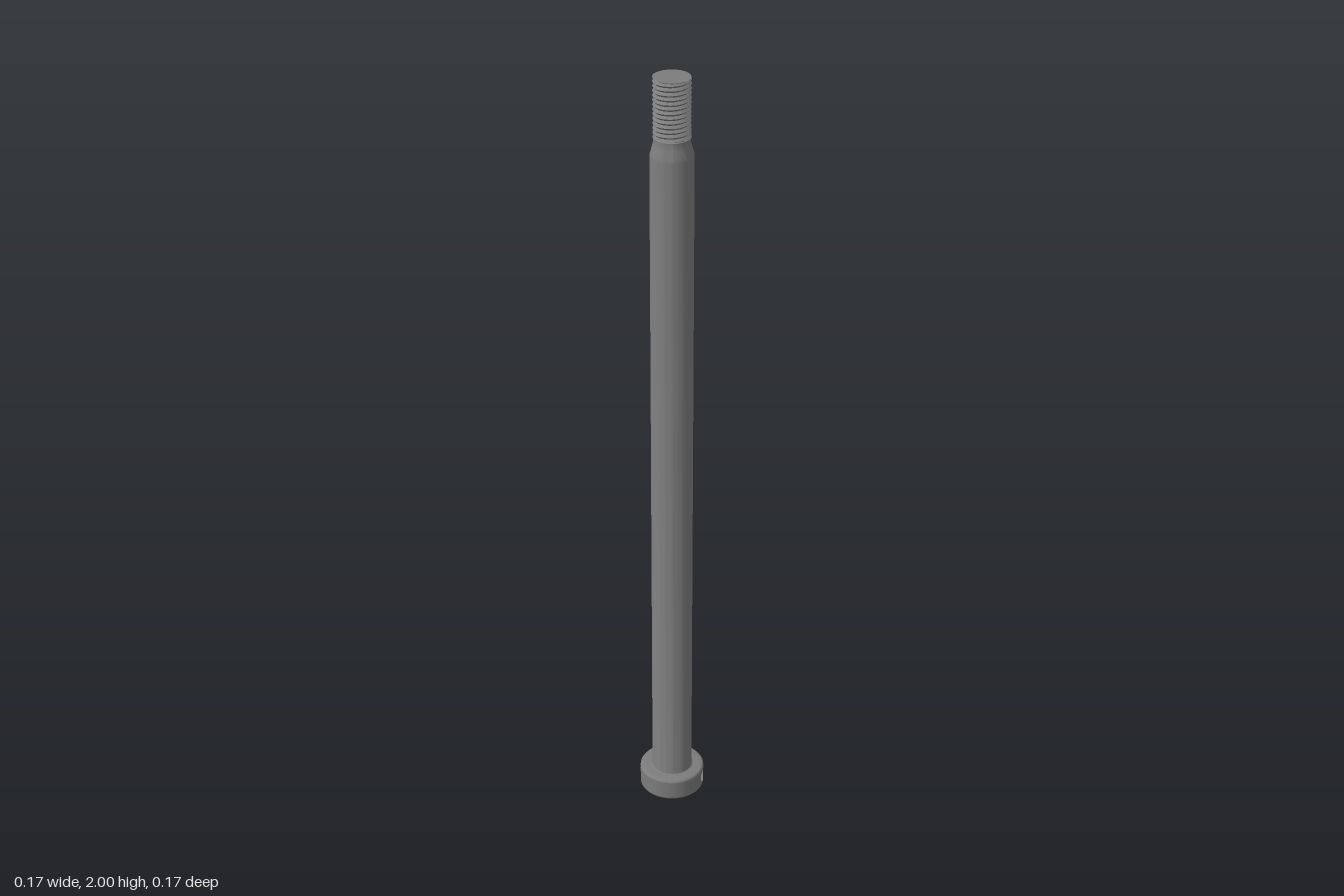
import * as THREE from 'three';
import { toCreasedNormals } from 'three/addons/utils/BufferGeometryUtils.js';
import { ParametricGeometry } from 'three/addons/geometries/ParametricGeometry.js';

const HEAD_R = 0.084, HEAD_H = 0.06, BEVEL = 0.006;
const SHAFT_R = 0.052, NECK_R = 0.0435;
const HOLE_R = 0.019, HOLE_Y = 0.03, HOLE_END = 0.035;
const THREAD_Y = 1.855, TOP_Y = 2, PITCH = 0.0112, CREST_R = 0.0448, ROOT_R = 0.039;

export function createModel() {
  const steel = new THREE.MeshStandardMaterial({ color: 0x7c7c7c });
  steel.name = 'grey steel';
  const model = new THREE.Group();
  model.name = 'headedPin';

  function add(name, geometry, parent = model) {
    const mesh = new THREE.Mesh(toCreasedNormals(geometry, 0.5), steel);
    mesh.name = name;
    parent.add(mesh);
    return mesh;
  }
  const lathe = (points, start = 0, length = Math.PI * 2) =>
    new THREE.LatheGeometry(points.map(([r, y]) => new THREE.Vector2(r, y)), 64, start, length);

  // Head: rounded rims above and below a side wall with a blind cross hole
  const head = new THREE.Group();
  head.name = 'head';
  model.add(head);
  const rim = [];
  for (let i = 0; i <= 4; i++) {
    const a = (i / 4) * Math.PI / 2;
    rim.push([HEAD_R - BEVEL + BEVEL * Math.sin(a), BEVEL - BEVEL * Math.cos(a)]);
  }
  add('headBottom', lathe([[0, 0], ...rim]), head);
  add('headTop', lathe([...rim.map(([r, y]) => [r, HEAD_H - y]).reverse(), [SHAFT_R, HEAD_H]]), head);

  const patchW = 0.034, patchH = HEAD_H / 2 - BEVEL;
  const patchAngle = Math.asin(patchW / HEAD_R);
  add('headWall', lathe([[HEAD_R, BEVEL], [HEAD_R, HEAD_H - BEVEL]],
    Math.PI / 2 + patchAngle, Math.PI * 2 - patchAngle * 2), head);

  // Wall patch running from a rectangle in to the hole edge
  add('holeSurround', new ParametricGeometry((u, v, p) => {
    const a = u * Math.PI * 2, c = Math.cos(a), s = Math.sin(a);
    const k = 1 / Math.max(Math.abs(c), Math.abs(s));
    const z = -THREE.MathUtils.lerp(c * k * patchW, c * HOLE_R, v);
    const y = HOLE_Y + THREE.MathUtils.lerp(s * k * patchH, s * HOLE_R, v);
    p.set(Math.sqrt(HEAD_R ** 2 - z * z), y, z);
  }, 48, 6), head);
  add('holeBore', new ParametricGeometry((u, v, p) => {
    const a = u * Math.PI * 2, z = -HOLE_R * Math.cos(a);
    const x = THREE.MathUtils.lerp(Math.sqrt(HEAD_R ** 2 - z * z), HOLE_END, v);
    p.set(x, HOLE_Y + HOLE_R * Math.sin(a), z);
  }, 48, 1), head);
  const holeEnd = add('holeEnd', new THREE.CircleGeometry(HOLE_R, 48), head);
  holeEnd.rotation.y = Math.PI / 2;
  holeEnd.position.set(HOLE_END, HOLE_Y, 0);

  // Shaft with a small fillet at the head and a tapered shoulder to the neck
  add('shaft', lathe([
    [0.0555, HEAD_H], [0.053, HEAD_H + 0.002], [SHAFT_R, HEAD_H + 0.006],
    [SHAFT_R, 1.808], [0.051, 1.815], [0.0465, 1.83], [NECK_R + 0.0015, 1.837],
    [NECK_R, 1.842], [NECK_R, THREAD_Y], [ROOT_R, THREAD_Y + 0.003],
  ]));

  // Helical thread: rows alternate root and crest, and climb one pitch per turn
  const turns = Math.ceil((TOP_Y - THREAD_Y) / PITCH) + 1, rows = turns * 2;
  add('thread', new ParametricGeometry((u, v, p) => {
    const row = Math.round(v * rows), a = u * Math.PI * 2;
    const r = row % 2 ? CREST_R : ROOT_R;
    const y = THREE.MathUtils.clamp(THREAD_Y + (row / 2 + u - 1) * PITCH, THREAD_Y, TOP_Y);
    p.set(r * Math.cos(a), y, -r * Math.sin(a));
  }, 48, rows));

  // Flat end with a thin edge
  add('threadEnd', lathe([[ROOT_R, TOP_Y - 0.004], [0.0435, TOP_Y - 0.001], [0.0435, TOP_Y], [0, TOP_Y]]));

  return model;
}
